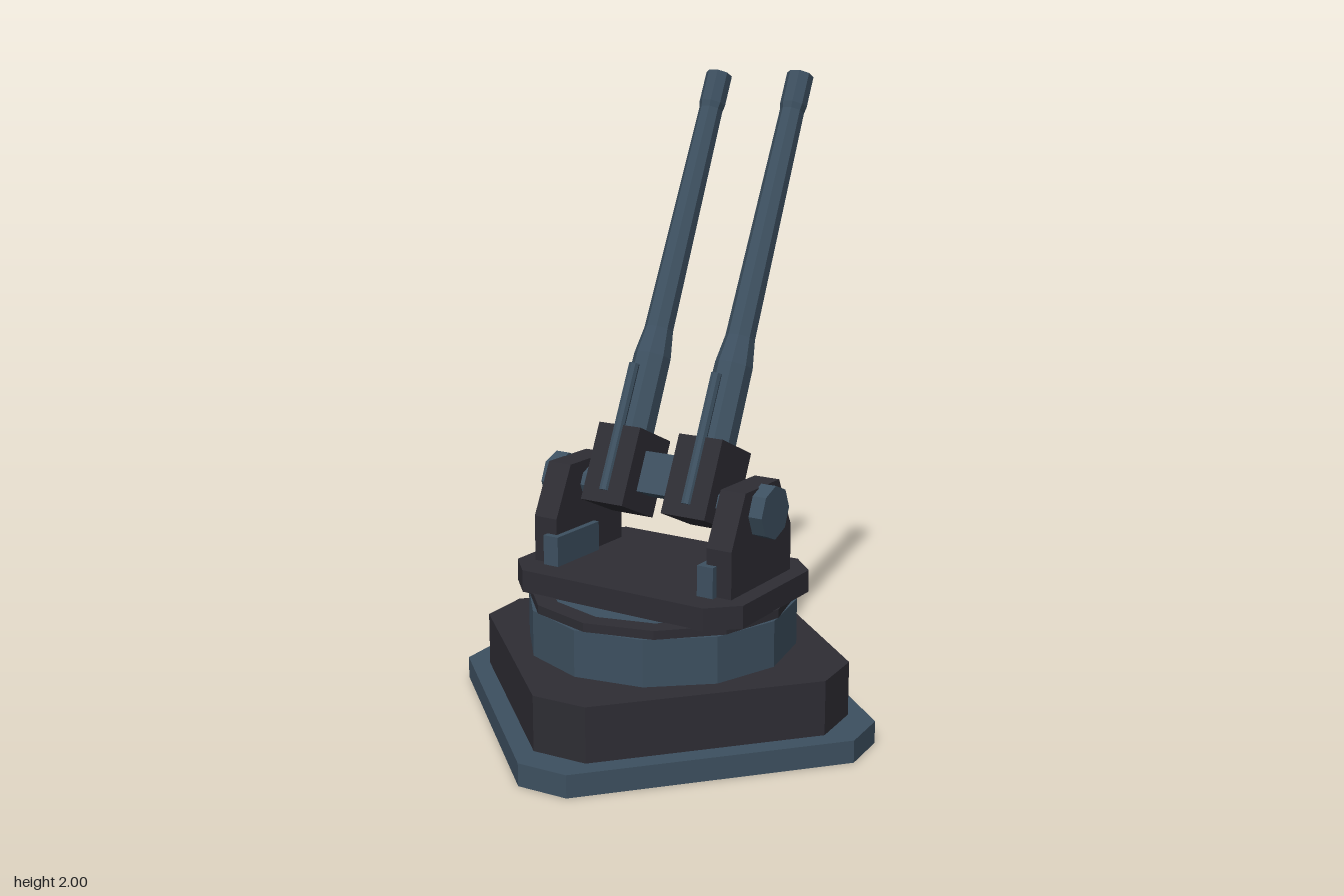
import * as THREE from 'three';

const mat = (name, color) => {
  const m = new THREE.MeshStandardMaterial({ color, flatShading: true });
  m.name = name;
  return m;
};

export function createModel() {
  const steel = mat('blue steel', 0x3d5060);
  const dark = mat('dark iron', 0x2e2d34);
  const root = new THREE.Group();
  root.name = 'twinGunTurret';
  root.position.x = -0.0125;

  const add = (parent, name, geo, material, x = 0, y = 0, z = 0) => {
    const mesh = new THREE.Mesh(geo, material);
    mesh.name = name;
    mesh.position.set(x, y, z);
    parent.add(mesh);
    return mesh;
  };
  const vectors = (pts) => pts.map(([x, y]) => new THREE.Vector2(x, y));
  const lathe = (pts, sides, start = 0) => new THREE.LatheGeometry(vectors(pts), sides, start);

  // Upright slab with chamfered corners: half sizes and the chamfer along each side
  const slab = (hx, hz, cx, cz, height) => {
    const shape = new THREE.Shape(vectors([
      [hx, -hz + cz], [hx, hz - cz], [hx - cx, hz], [-hx + cx, hz],
      [-hx, hz - cz], [-hx, -hz + cz], [-hx + cx, -hz], [hx - cx, -hz],
    ]));
    return new THREE.ExtrudeGeometry(shape, { depth: height, bevelEnabled: false }).rotateX(-Math.PI / 2);
  };

  // Fixed base
  add(root, 'groundPlate', slab(0.548, 0.55, 0.115, 0.115, 0.07), steel);
  add(root, 'basePlinth', slab(0.488, 0.49, 0.125, 0.125, 0.17), dark, 0, 0.07);
  add(root, 'collar', lathe([
    [0.425, 0.24], [0.425, 0.385], [0.355, 0.385], [0.355, 0.36], [0, 0.36],
  ], 12, THREE.MathUtils.degToRad(6.8)), steel);

  // Rotating part, local +x is the firing direction
  const turret = new THREE.Group();
  turret.name = 'turret';
  turret.rotation.y = THREE.MathUtils.degToRad(41);
  root.add(turret);
  add(turret, 'bearingRing', lathe([
    [0.355, 0.36], [0.42, 0.385], [0.42, 0.412], [0.355, 0.412], [0.355, 0.36],
  ], 12), dark);
  add(turret, 'platform', slab(0.285, 0.414, 0.085, 0.085, 0.07), dark, 0, 0.41);

  const cheekShape = new THREE.Shape(vectors([
    [-0.178, 0.48], [0.178, 0.48], [0.178, 0.625], [0.1, 0.785], [-0.1, 0.785], [-0.178, 0.625],
  ]));
  const cheekGeo = new THREE.ExtrudeGeometry(cheekShape, { depth: 0.085, bevelEnabled: false });
  const hubGeo = new THREE.CylinderGeometry(0.083, 0.083, 0.05, 8).rotateX(Math.PI / 2);
  const shaftGeo = new THREE.CylinderGeometry(0.05, 0.05, 0.12, 8).rotateX(Math.PI / 2);
  const boxGeo = new THREE.BoxGeometry(0.22, 0.095, 0.055);

  // Elevating part, local +y runs along the barrels
  const guns = new THREE.Group();
  guns.name = 'guns';
  guns.position.y = 0.71;
  guns.rotation.z = -THREE.MathUtils.degToRad(24.4);
  turret.add(guns);
  const barrelGeo = lathe([
    [0.062, 0.16], [0.06, 0.43], [0.047, 0.52], [0.039, 1.27], [0.043, 1.29],
    [0.043, 1.394], [0.027, 1.394], [0.027, 1.29], [0, 1.29],
  ], 8, Math.PI / 8);
  const breechGeo = new THREE.BoxGeometry(0.188, 0.25, 0.155);
  const rodGeo = new THREE.CylinderGeometry(0.017, 0.017, 0.41, 8);

  for (const side of [-1, 1]) {
    add(turret, 'cheek', cheekGeo, dark, 0, 0, side * 0.3175 - 0.0425);
    add(turret, 'trunnionHub', hubGeo, steel, 0, 0.71, side * 0.38);
    add(turret, 'trunnionShaft', shaftGeo, steel, 0, 0.71, side * 0.25);
    add(turret, 'equipmentBox', boxGeo, steel, -0.09, 0.5275, side * 0.2825);
    add(guns, 'breech', breechGeo, dark, 0, 0.055, side * 0.149);
    add(guns, 'barrel', barrelGeo, steel, 0, 0, side * 0.151);
    add(guns, 'recoilRod', rodGeo, steel, -0.09, 0.175, side * 0.151);
  }
  // Bar joining the two breeches
  add(guns, 'breechLink', new THREE.BoxGeometry(0.085, 0.13, 0.15), steel, 0.01, 0.055, 0);

  return root;
}
